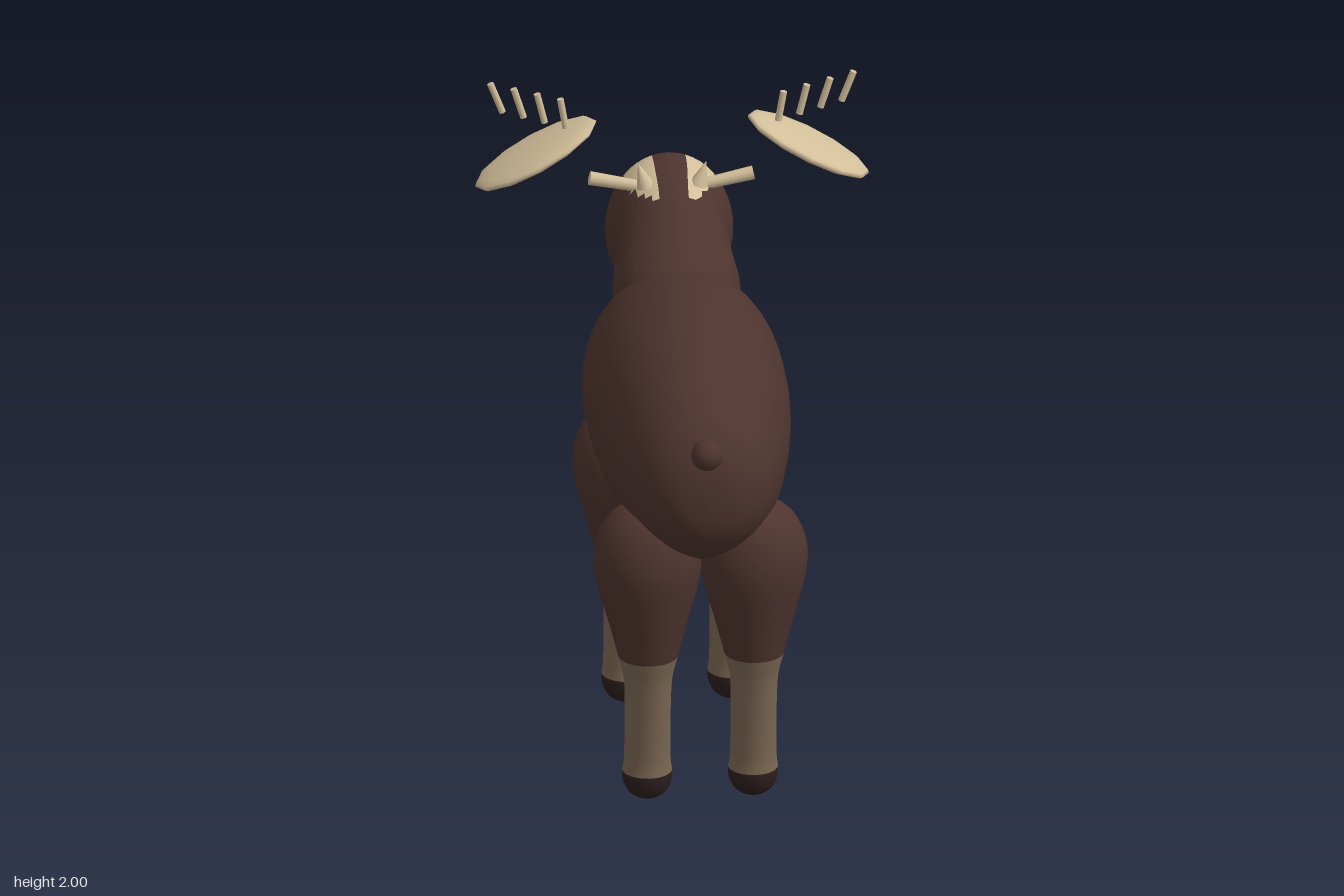
import * as THREE from 'three';

const mat = (name, color) => {
  const m = new THREE.MeshStandardMaterial({ color });
  m.name = name;
  return m;
};

// Skin a smooth tube over oval sections [z1, y1, z2, y2, halfWidth], where 1 and 2
// are opposite rim points. paint(centroid) gives the material index of a triangle.
function loft(sections, sides, steps, paint) {
  const rimA = new THREE.CatmullRomCurve3(sections.map(s => new THREE.Vector3(s[4], s[1], s[0])), false, 'catmullrom');
  const rimB = new THREE.CatmullRomCurve3(sections.map(s => new THREE.Vector3(0, s[3], s[2])), false, 'catmullrom');
  const rows = (sections.length - 1) * steps;
  const pos = [];
  for (let i = 0; i <= rows; i++) {
    const a = rimA.getPoint(i / rows), b = rimB.getPoint(i / rows);
    for (let j = 0; j < sides; j++) {
      const t = (j / sides) * Math.PI * 2, c = Math.cos(t) / 2;
      pos.push(
        Math.max(a.x, 0) * Math.sin(t),
        (a.y + b.y) / 2 + (a.y - b.y) * c,
        (a.z + b.z) / 2 + (a.z - b.z) * c
      );
    }
  }
  const buckets = [[], [], []];
  const add = (...tri) => {
    const mid = [0, 1, 2].map(k => tri.reduce((sum, v) => sum + pos[v * 3 + k], 0) / 3);
    buckets[paint ? paint(...mid) : 0].push(...tri);
  };
  for (let i = 0; i < rows; i++) {
    for (let j = 0; j < sides; j++) {
      const k = (j + 1) % sides, p = i * sides, q = p + sides;
      add(p + j, p + k, q + k);
      add(p + j, q + k, q + j);
    }
  }
  const geo = new THREE.BufferGeometry();
  geo.setAttribute('position', new THREE.Float32BufferAttribute(pos, 3));
  geo.setIndex(buckets.flat());
  let start = 0;
  buckets.forEach((b, i) => {
    if (b.length) geo.addGroup(start, b.length, i);
    start += b.length;
  });
  geo.computeVertexNormals();
  return geo;
}

export function createModel() {
  const root = new THREE.Group();
  root.name = 'antleredAnimal';
  const brown = mat('brownCoat', 0x4e342e);
  const tan = mat('tanStocking', 0x7a6752);
  const dark = mat('darkHoof', 0x2d1f1e);
  const bone = mat('antlerBone', 0xd2be9a);

  const put = (name, geo, material, parent = root) => {
    const m = new THREE.Mesh(geo, material);
    m.name = name;
    parent.add(m);
    return m;
  };
  // Round rod between two points
  const rod = (name, a, b, r1, r2, parent) => {
    const from = new THREE.Vector3(...a), to = new THREE.Vector3(...b);
    const dir = to.clone().sub(from);
    const m = put(name, new THREE.CylinderGeometry(r2, r1, dir.length(), 10), bone, parent);
    m.position.copy(from).add(to).multiplyScalar(0.5);
    m.quaternion.setFromUnitVectors(new THREE.Vector3(0, 1, 0), dir.normalize());
    return m;
  };

  // Barrel body: z, top, bottom, half width
  const body = [
    [0.875, 1.11, 1.11, 0], [0.86, 1.23, 1.0, 0.1], [0.8, 1.335, 0.915, 0.185],
    [0.7, 1.405, 0.85, 0.235], [0.6, 1.445, 0.81, 0.265], [0.4, 1.485, 0.775, 0.3],
    [0.2, 1.5, 0.765, 0.316], [0, 1.49, 0.755, 0.317], [-0.1, 1.475, 0.76, 0.31],
    [-0.2, 1.45, 0.785, 0.288], [-0.3, 1.39, 0.85, 0.238], [-0.37, 1.32, 0.93, 0.178],
    [-0.42, 1.22, 1.04, 0.09], [-0.435, 1.13, 1.13, 0],
  ].map(([z, t, b, w]) => [z, t, z, b, w]);
  put('body', loft(body, 40, 4), brown);

  // Neck and head in one skin, with pale patches below the antlers
  const head = [
    [-0.02, 1.36, -0.32, 1.1, 0.19], [-0.1, 1.475, -0.42, 1.22, 0.2],
    [-0.25, 1.565, -0.45, 1.24, 0.185], [-0.36, 1.64, -0.475, 1.225, 0.178],
    [-0.45, 1.682, -0.51, 1.195, 0.195], [-0.54, 1.688, -0.55, 1.185, 0.2],
    [-0.62, 1.65, -0.62, 1.2, 0.183], [-0.7, 1.585, -0.69, 1.215, 0.145],
    [-0.78, 1.525, -0.76, 1.235, 0.108], [-0.84, 1.475, -0.82, 1.25, 0.09],
    [-0.88, 1.43, -0.868, 1.285, 0.062], [-0.897, 1.37, -0.897, 1.37, 0],
  ];
  const patch = (x, y, z) =>
    (Math.abs(x) > 0.052 && Math.abs(x) < 0.16 && y > 1.615 && z < -0.34 && z > -0.62 ? 1 : 0);
  put('neckAndHead', loft(head, 48, 5, patch), [brown, bone]);

  // Tail
  put('tail', new THREE.SphereGeometry(0.05, 20, 14), brown).position.set(0, 1.27, 0.855);

  // Legs: height, radius, backward shift of the hind leg
  const profile = [
    [1.012, 0, 0.62], [0.998, 0.07, 0.62], [0.96, 0.124, 0.62], [0.9, 0.157, 0.62],
    [0.83, 0.17, 0.62], [0.76, 0.163, 0.622], [0.67, 0.139, 0.628], [0.58, 0.114, 0.633],
    [0.5, 0.094, 0.636], [0.42, 0.076, 0.635], [0.3, 0.072, 0.622], [0.14, 0.073, 0.603],
    [0.08, 0.079, 0.6], [0.035, 0.066, 0.6], [0.01, 0.038, 0.6], [0, 0, 0.6],
  ];
  const stocking = (x, y) => (y > 0.505 ? 0 : y > 0.1 ? 1 : 2);
  for (const hind of [false, true]) {
    const geo = loft(profile.map(([y, r, zh]) => {
      const z = hind ? zh : -0.147 - (y < 0.5 ? 0.006 : 0);
      return [z - r, y, z + r, y, r];
    }), 24, 3, stocking);
    for (const side of [1, -1]) {
      const leg = put((side > 0 ? 'left' : 'right') + (hind ? 'TailEndLeg' : 'HeadEndLeg'), geo, [brown, tan, dark]);
      leg.position.x = side * 0.166;
    }
  }

  // Antlers: stub, spike, palm and four tines on each side
  for (const s of [1, -1]) {
    const antler = new THREE.Group();
    antler.name = s > 0 ? 'leftAntler' : 'rightAntler';
    root.add(antler);
    rod('antlerStub', [s * 0.07, 1.617, -0.44], [s * 0.257, 1.657, -0.44], 0.018, 0.022, antler);
    rod('antlerSpike', [s * 0.083, 1.635, -0.415], [s * 0.106, 1.71, -0.415], 0.03, 0.001, antler);
    const palm = put('antlerPalm', new THREE.SphereGeometry(1, 12, 12), bone, antler);
    palm.scale.set(0.217, 0.03, 0.136);
    palm.position.set(s * 0.427, 1.755, -0.422);
    palm.rotation.z = -s * 0.505;
    for (let i = 0; i < 4; i++) {
      rod('antlerTine', [s * (0.333 + i * 0.066), 1.84 + i * 0.02, -0.422],
        [s * (0.35 + i * 0.073), 1.938 + i * 0.02, -0.422], 0.011, 0.011, antler);
    }
  }
  return root;
}
